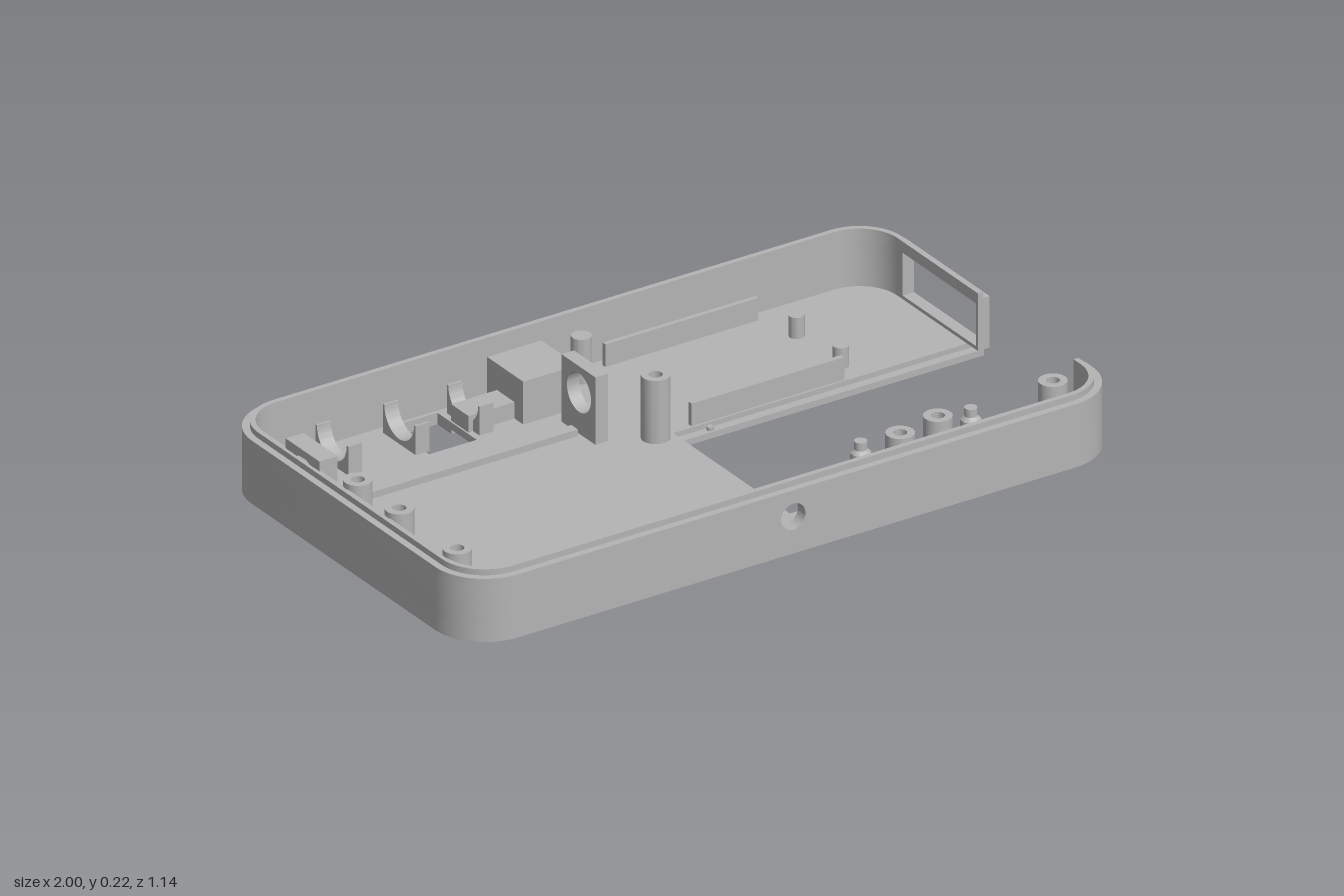
import * as THREE from 'three';
import { toCreasedNormals } from 'three/addons/utils/BufferGeometryUtils.js';

const FLOOR = 0.033, WALL_TOP = 0.18, LIP_TOP = 0.197, WALL = 0.035;
const HX = 1, HZ = 0.57, R = 0.15;

export function createModel() {
  const group = new THREE.Group();
  const plastic = new THREE.MeshStandardMaterial({ color: 0xb4b4b4 });
  plastic.name = 'grey plastic';

  const add = (name, geometry) => {
    const mesh = new THREE.Mesh(toCreasedNormals(geometry, 0.5), plastic);
    mesh.name = name;
    group.add(mesh);
    return mesh;
  };
  const shapeOf = (pts) => new THREE.Shape(pts.map(([x, y]) => new THREE.Vector2(x, y)));
  const rect = (x0, x1, z0, z1) => [[x0, z0], [x1, z0], [x1, z1], [x0, z1]];

  // plan outline (x, z) raised from y0 to y1
  const slab = (name, outline, y0, y1, holes = []) => {
    const s = shapeOf(outline);
    s.holes = holes.map(shapeOf);
    const g = new THREE.ExtrudeGeometry(s, { depth: y1 - y0, bevelEnabled: false });
    g.rotateX(Math.PI / 2).translate(0, y1, 0);
    return add(name, g);
  };
  const box = (name, x0, x1, z0, z1, y0, y1) => slab(name, rect(x0, x1, z0, z1), y0, y1);
  // (z, y) section swept from x0 to x1
  const section = (name, s, x0, x1) => {
    const g = new THREE.ExtrudeGeometry(s, { depth: x1 - x0, bevelEnabled: false, curveSegments: 24 });
    g.rotateY(-Math.PI / 2).translate(x1, 0, 0);
    return add(name, g);
  };
  const arc = (cx, cz, r, fromDeg, n = 12) => Array.from({ length: n + 1 }, (_, i) => {
    const a = (fromDeg + 90 * i / n) * Math.PI / 180;
    return [cx + r * Math.cos(a), cz + r * Math.sin(a)];
  });
  // rounded case corner, inset from the outside
  const corner = (sx, sz, inset, deg) => arc(sx * (HX - R), sz * (HZ - R), R - inset, deg);
  const ribbon = (path, outer, inner) => [...path(outer), ...path(inner).reverse()];

  // wall runs: short front-right run, long left/back run
  const cutFront = 0.387, cutBack = -0.05, gap = 0.1;
  const frontRun = (i) => [[HX - i, cutFront], ...corner(1, 1, i, 0), [gap, HZ - i]];
  const backRun = (zEnd) => (i) => [[-gap, HZ - i], ...corner(-1, 1, i, 90),
    ...corner(-1, -1, i, 180), ...corner(1, -1, i, 270), [HX - i, zEnd]];
  const fullRun = (i) => [...frontRun(i), ...backRun(cutBack)(i)];

  // floor in three layers: door recess, middle, upper groove beside the cutout
  const floorOutline = (z0, z1) => [[HX, z1], ...corner(1, 1, 0, 0), ...corner(-1, 1, 0, 90),
    ...corner(-1, -1, 0, 180), ...corner(1, -1, 0, 270), [HX, z0], [0.07, z0], [0.07, z1]];
  const opening = rect(-0.51, -0.365, -0.525, -0.345);
  const c = 0.05, rx0 = -0.88, rx1 = -0.16, rz = 0.46;
  const recess = [
    ...arc(rx1 - c, rz - c, c, 0, 6), ...arc(rx0 + c, rz - c, c, 90, 6),
    ...arc(rx0 + c, -rz + c, c, 180, 6),
    [-0.51, -rz], [-0.51, -0.525], [-0.365, -0.525], [-0.365, -rz],
    ...arc(rx1 - c, -rz + c, c, 270, 6),
  ];
  slab('floorBottom', floorOutline(-0.075, 0.41), 0, 0.012, [recess]);
  slab('floorMiddle', floorOutline(-0.075, 0.41), 0.012, 0.018, [opening]);
  slab('floorTop', floorOutline(-0.1, 0.435), 0.018, FLOOR,
    [opening, rect(-0.92, -0.86, -0.36, -0.11)]);

  // walls, with a window in the +x end
  const win = { z0: -0.395, z1: -0.06, y0: 0.043, y1: 0.165 };
  slab('frontCornerWall', ribbon(frontRun, 0, WALL), FLOOR, WALL_TOP);
  slab('wallBelowWindow', ribbon(backRun(cutBack), 0, WALL), FLOOR, win.y0);
  slab('wallBesideWindow', ribbon(backRun(win.z0), 0, WALL), win.y0, win.y1);
  slab('wallAboveWindow', ribbon(backRun(cutBack), 0, WALL), win.y1, WALL_TOP);
  box('windowPost', HX - WALL, HX, win.z1, cutBack, win.y0, win.y1);
  slab('rimLip', ribbon(fullRun, 0.02, WALL), WALL_TOP, LIP_TOP);

  // front wall panel with round hole
  const panel = shapeOf(rect(-gap, gap, FLOOR, WALL_TOP));
  panel.holes.push(new THREE.Path().absarc(-0.01, 0.105, 0.037, 0, Math.PI * 2, true));
  const panelGeo = new THREE.ExtrudeGeometry(panel, { depth: WALL, bevelEnabled: false, curveSegments: 24 });
  add('frontHolePanel', panelGeo.translate(0, 0, HZ - WALL));

  // turned posts
  const turned = (name, x, z, profile) => {
    const g = new THREE.LatheGeometry(profile.map(([r, y]) => new THREE.Vector2(r, y)), 24);
    add(name, g.translate(x, 0, z));
  };
  const bosses = [[-0.93, -0.04], [-0.93, 0.15], [-0.93, 0.415], [0.02, -0.105],
    [0.375, 0.48, 0.197], [0.49, 0.48], [0.84, 0.48]];
  for (const [x, z, top = 0.213] of bosses) {
    turned('screwBoss', x, z, [[0.038, FLOOR], [0.038, top], [0.018, top], [0.018, 0.09], [0, 0.09]]);
  }
  for (const x of [0.255, 0.59]) {
    turned('steppedPost', x, 0.48,
      [[0.027, FLOOR], [0.027, 0.175], [0.017, 0.185], [0.017, 0.208], [0, 0.208]]);
  }
  const pegs = [[0.04, -0.475, 0.027, 0.16], [-0.03, -0.455, 0.013, 0.1],
    [0.63, -0.175, 0.021, 0.093], [0.63, -0.377, 0.021, 0.093],
    [0.175, -0.088, 0.009, 0.028], [0.175, 0.422, 0.009, 0.028]];
  for (const [x, z, r, top] of pegs) {
    turned('locatingPeg', x, z, [[r, 0.018], [r, top], [0, top]]);
  }

  // bearing blocks with a shaft hole
  for (const [x0, x1] of [[-0.97, -0.915], [-0.13, -0.092]]) {
    const s = shapeOf(rect(-0.31, -0.155, FLOOR, 0.225));
    s.holes.push(new THREE.Path().absarc(-0.23, 0.15, 0.055, 0, Math.PI * 2, true));
    section('bearingBlock', s, x0, x1);
  }

  // concave cradles
  for (const x of [-0.725, -0.52, -0.325]) {
    const s = new THREE.Shape();
    s.moveTo(-0.51, FLOOR);
    s.lineTo(-0.36, FLOOR);
    s.lineTo(-0.36, 0.115);
    s.absarc(-0.435, 0.115, 0.068, 0, Math.PI, true);
    s.lineTo(-0.51, 0.115);
    section('cradle', s, x - 0.021, x + 0.021);
  }

  // ribs and blocks on the floor
  box('longRib', -0.84, -0.14, -0.25, -0.22, FLOOR, 0.052);
  box('frontBoardRib', 0.13, 0.595, -0.121, -0.106, FLOOR, 0.097);
  box('backBoardRib', 0.13, 0.595, -0.513, -0.5, FLOOR, 0.097);
  box('motorBlock', -0.22, -0.055, -0.515, -0.35, FLOOR, 0.155);
  box('motorBracket', -0.36, -0.22, -0.47, -0.39, FLOOR, 0.08);

  return group;
}
